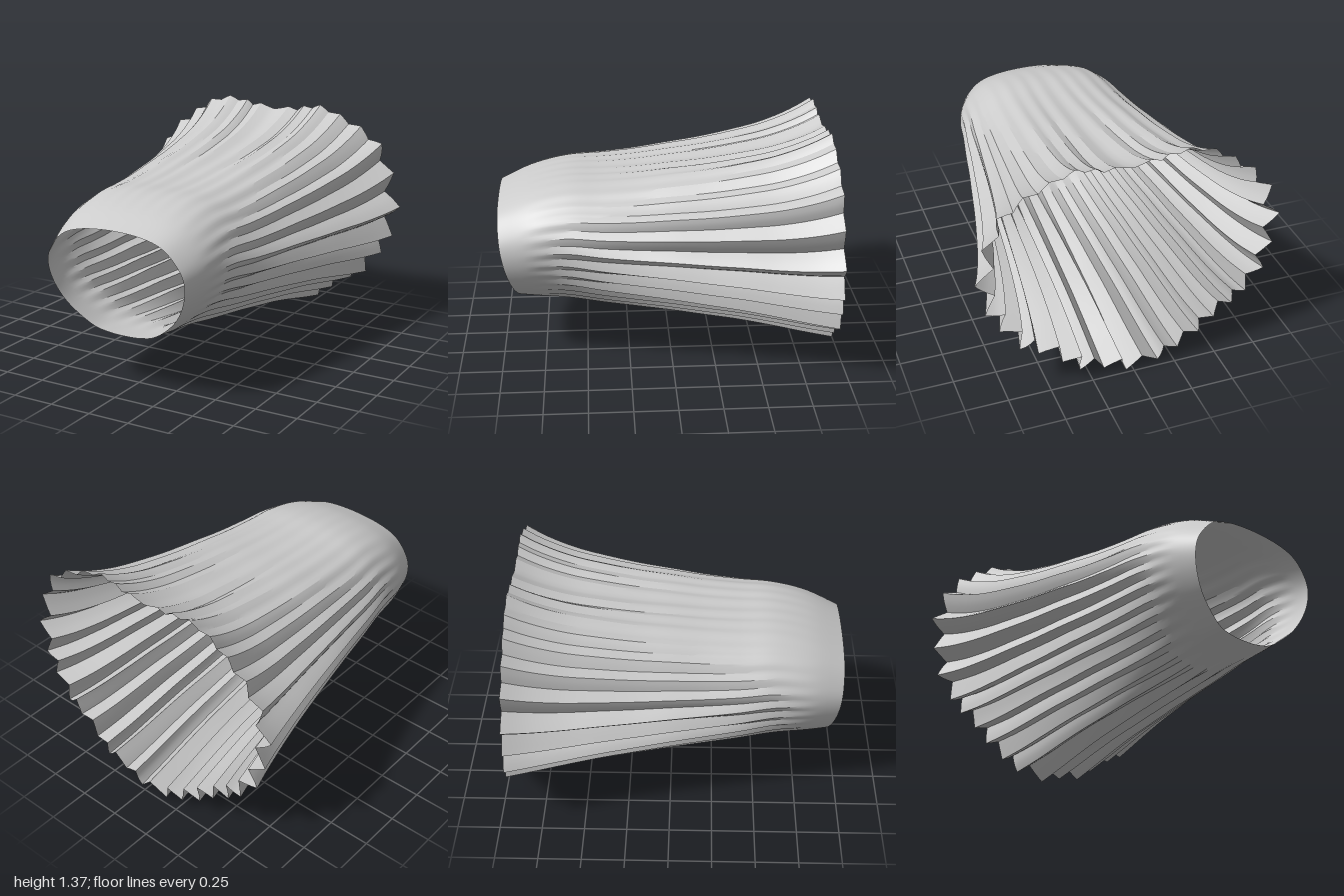
import * as THREE from 'three';
import { toCreasedNormals } from 'three/addons/utils/BufferGeometryUtils.js';

const RINGS = 44;   // rows from waist to hem
const SUB = 6;      // columns per pleat

// Closed smooth outline, clockwise from the top
const outline = points => new THREE.CatmullRomCurve3(
  points.map(([x, y]) => new THREE.Vector3(x, y, 0)), true, 'catmullrom', 0.5);

// Waist outline, scaled to -1..1, mirrored from its +x half
const waistSide = [
  [0.45, 0.95], [0.75, 0.8], [0.95, 0.48], [1, 0.17],
  [0.93, -0.2], [0.75, -0.57], [0.45, -0.89], [0.23, -0.98],
];
const waist = outline([
  [0, 1], ...waistSide, [0, -1], ...waistSide.map(([x, y]) => [-x, y]).reverse(),
]);

// Pleat tips along the slightly uneven hem, one control point per pleat
const HEM_W = 0.885, HEM_H = 0.69;
const hem = outline([
  [0.1, 1.34], [0.21, 1.355], [0.325, 1.37], [0.465, 1.325], [0.61, 1.26], [0.755, 1.16],
  [0.84, 0.98], [0.885, 0.76], [0.835, 0.56], [0.76, 0.435], [0.65, 0.29], [0.545, 0.235],
  [0.41, 0.145], [0.31, 0.07], [0.17, 0.045], [0.04, 0],
  [-0.15, 0.02], [-0.27, 0.07], [-0.4, 0.14], [-0.495, 0.215], [-0.605, 0.28], [-0.69, 0.345],
  [-0.8, 0.475], [-0.85, 0.64], [-0.885, 0.83], [-0.825, 1.03], [-0.715, 1.17], [-0.59, 1.265],
  [-0.47, 1.34], [-0.33, 1.375], [-0.2, 1.36], [-0.1, 1.345],
]);
const PLEATS = hem.points.length;

// Top height, bottom height and half width, at z = 1 down to -1 in even steps
const body = new THREE.CatmullRomCurve3([
  [0.96, 0.335, 0.435], [1.045, 0.318, 0.502], [1.092, 0.298, 0.537], [1.1, 0.265, 0.575],
  [1.115, 0.235, 0.61], [1.14, 0.205, 0.65], [1.165, 0.17, 0.69], [1.2, 0.135, 0.735],
  [1.245, 0.09, 0.785], [1.32, 0.04, 0.845], [1.43, -0.005, 0.92],
].map(p => new THREE.Vector3(...p)), false, 'catmullrom', 0.5);

function pleatedSkirt() {
  const cols = PLEATS * SUB, pos = [], index = [];
  const columns = Array.from({ length: cols }, (_, c) => {
    const p = c / SUB - 0.5;                       // whole numbers are pleat tips
    const u = ((p + PLEATS) % PLEATS) / PLEATS;
    const h = hem.getPoint(u), t = hem.getTangent(u);
    const nx = h.x / HEM_W, ny = (h.y - HEM_H) / HEM_H;
    return {
      nx, ny,
      inward: new THREE.Vector2(t.y, -t.x),
      w: waist.getPointAt(c / cols),
      fold: Math.abs(p - Math.round(p)) * 2,       // 0 on a tip, 1 in a valley
      depth: 0.02 + 0.075 * THREE.MathUtils.clamp(1.4 * (1 - ny), 0, 1),
    };
  });

  for (let r = 0; r <= RINGS; r++) {
    const v = r / RINGS;
    const grow = Math.max(0, (v - 0.08) / 0.92) ** 0.85;   // pleats open towards the hem
    for (const k of columns) {
      // slanted waist and hem
      const lowW = (1 - k.w.y) / 2, lowH = Math.max(0, (1 - k.ny) / 2);
      const z0 = 1 - 0.11 * lowW * lowW;
      const z1 = -0.91 - 0.07 * lowH ** 2.5 - 0.02 * k.fold * lowH ** 2;
      const z = THREE.MathUtils.lerp(z0, z1, v);
      // blend the outlines, then fit them to the body at this depth
      const b = body.getPoint(THREE.MathUtils.clamp((1 - z) / 2, 0, 1));
      const x = THREE.MathUtils.lerp(k.w.x, k.nx, v) * b.z;
      const y = (b.x + b.y) / 2 + THREE.MathUtils.lerp(k.w.y, k.ny, v) * (b.x - b.y) / 2;
      const d = k.depth * k.fold * grow;
      pos.push(x + k.inward.x * d, y + k.inward.y * d, z);
    }
  }
  for (let r = 0; r < RINGS; r++) {
    for (let c = 0; c < cols; c++) {
      const n = (c + 1) % cols, a = r * cols;
      index.push(a + c, a + n, a + cols + c, a + n, a + cols + n, a + cols + c);
    }
  }
  const geo = new THREE.BufferGeometry();
  geo.setAttribute('position', new THREE.Float32BufferAttribute(pos, 3));
  geo.setIndex(index);
  return toCreasedNormals(geo, 0.5);
}

export function createModel() {
  const group = new THREE.Group();
  group.name = 'skirt';
  const cloth = new THREE.MeshStandardMaterial({ color: 0xcccccc, side: THREE.DoubleSide });
  const mesh = new THREE.Mesh(pleatedSkirt(), cloth);
  mesh.name = 'pleatedCloth';
  group.add(mesh);
  return group;
}
